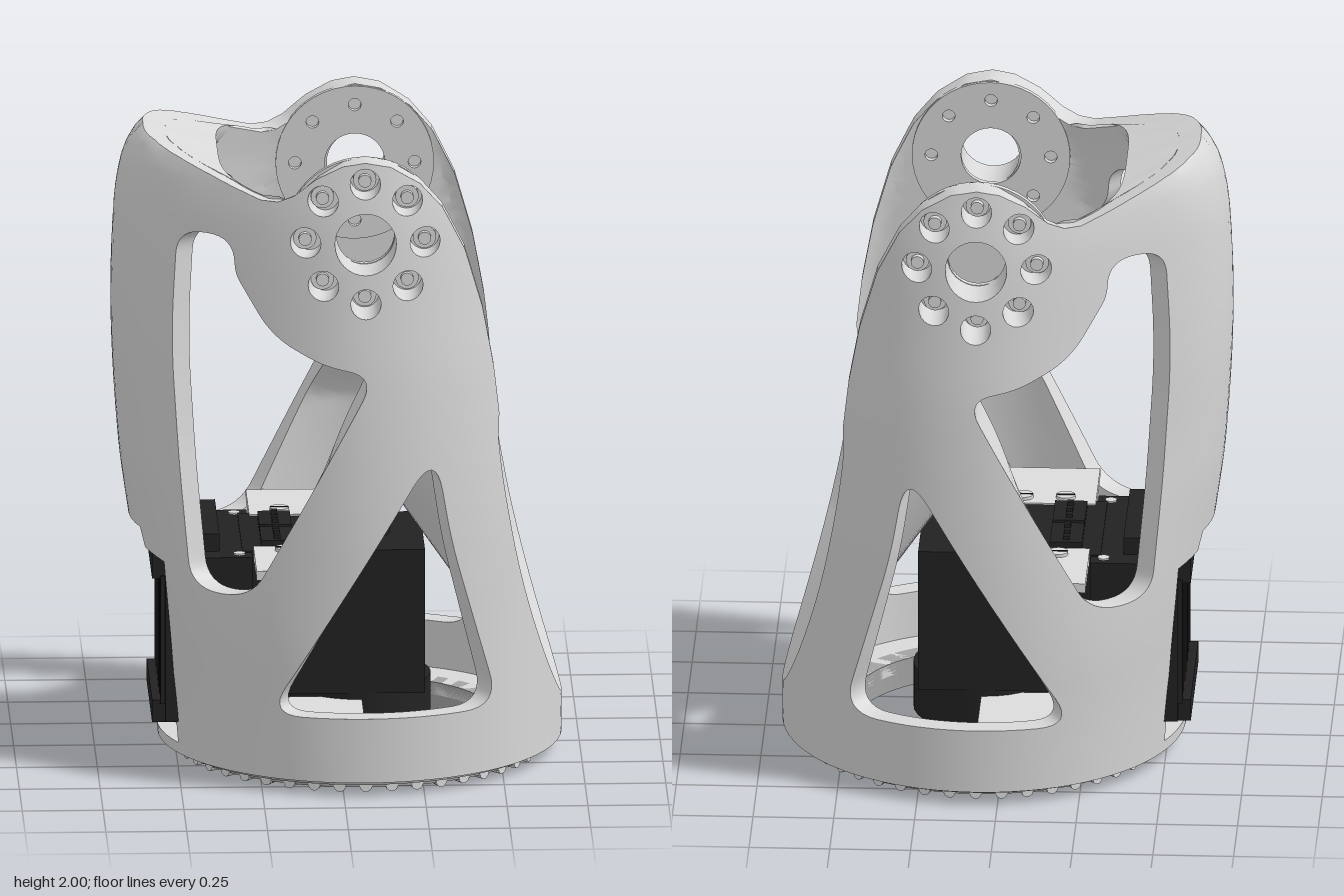
import * as THREE from 'three';
import { mergeGeometries, toCreasedNormals } from 'three/addons/utils/BufferGeometryUtils.js';

const CX = 0.07, S = 0.62, END = S * Math.PI, STEP = 0.06; // ring centre, unrolling scale, unrolled length, mesh size
const { lerp, smoothstep, clamp } = THREE.MathUtils;
const V2 = (x, y) => new THREE.Vector2(x, y), V3 = (x, y, z) => new THREE.Vector3(x, y, z);
const mat = (name, color, side = THREE.FrontSide) =>
  Object.assign(new THREE.MeshStandardMaterial({ color, side }), { name });

// smooth curve through [y, value] pairs
function curve(t) {
  const slope = i => {
    const a = t[Math.max(i - 1, 0)], b = t[Math.min(i + 1, t.length - 1)];
    return (b[1] - a[1]) / (b[0] - a[0]);
  };
  return y => {
    let i = 0;
    while (i < t.length - 2 && y > t[i + 1][0]) i++;
    const h = t[i + 1][0] - t[i][0], k = clamp((y - t[i][0]) / h, 0, 1), k2 = k * k, k3 = k2 * k;
    return (2 * k3 - 3 * k2 + 1) * t[i][1] + (k3 - 2 * k2 + k) * h * slope(i)
      + (3 * k2 - 2 * k3) * t[i + 1][1] + (k3 - k2) * h * slope(i + 1);
  };
}
const halfDepth = curve([[0, 0.625], [0.75, 0.625], [1, 0.617], [1.3, 0.598], [1.5, 0.577], [1.8, 0.54], [2, 0.5]]);
const leftReach = curve([[0, 0.62], [0.3, 0.65], [0.75, 0.715], [1, 0.748], [1.4, 0.77], [1.75, 0.76], [1.9, 0.735], [1.97, 0.7], [2, 0.67]]);

// point of the wall a distance t inside its outer skin; the back half narrows towards the top
function skinPoint(s, y, t) {
  const c = Math.cos(s / S), b = halfDepth(y);
  const narrow = c < 0 ? 1 - 0.13 * smoothstep(y, 0.4, 1.2) * Math.sin(2 * s / S) ** 2 : 1;
  return V3(CX + ((c < 0 ? leftReach(y) : b) - t) * c, y, (b - t) * Math.sin(s / S) * narrow);
}
const outer = (s, y) => skinPoint(s, y, 0);
function inner(s, y) {
  const o = outer(s, y), p = skinPoint(s, y, 0.07), ear = smoothstep(y, 0.95, 1.2);
  if (o.x > CX) p.x = lerp(p.x, o.x, ear);
  else p.y -= 0.37 * smoothstep(y, 1.74, 1.86) * (p.x - o.x);
  p.z = Math.min(p.z, lerp(p.z, 0.415, ear));
  return p;
}
const unroll = ([x, y]) => V2(S * Math.acos(clamp((x - CX) / (x < CX ? leftReach(y) : halfDepth(y)), -1, 1)), y);

// polygon of [x, y, radius] with rounded corners
const rounded = p => p.flatMap(([x, y, r], i) => {
  const toward = q => V2(q[0] - x, q[1] - y).setLength(r).add(V2(x, y));
  return new THREE.QuadraticBezierCurve(toward(p.at(i - 1)), V2(x, y), toward(p[(i + 1) % p.length])).getPoints(8);
});
const densify = p => p.flatMap((a, i) => {
  const b = p[(i + 1) % p.length], n = Math.max(1, Math.ceil(a.distanceTo(b) / (STEP * 0.8)));
  return Array.from({ length: n }, (_, k) => a.clone().lerp(b, k / n));
});
const windowPath = p => densify(rounded(p)).map(v => unroll([v.x, v.y]));
const circle = (x, y, r, n = 20) => Array.from({ length: n }, (_, i) =>
  V2(x + r * Math.cos(i * 2 * Math.PI / n), y + r * Math.sin(i * 2 * Math.PI / n)));
const boltSpots = circle(CX, 1.75, 0.185, 8).map(v => [v.x, v.y]);

// top edge of the wall, from the back over the ear to the scoop
const topEdge = [[-0.57, 1.989], [-0.54, 1.977], [-0.5, 1.962], [-0.45, 1.942], [-0.4, 1.923], [-0.3, 1.885], [-0.25, 1.868],
  [-0.2, 1.868], [-0.15, 1.89], [-0.08, 1.947], [0, 1.988], [0.07, 2], [0.15, 1.985], [0.24, 1.93], [0.31, 1.85], [0.38, 1.71],
  [0.435, 1.52], [0.47, 1.33], [0.487, 1.18]].map(unroll);

function geometry(corners, normals) {
  const g = new THREE.BufferGeometry().setFromPoints(corners);
  if (normals) g.setAttribute('normal', new THREE.Float32BufferAttribute(normals.flatMap(n => n.toArray()), 3));
  return g;
}
// adds the mirror image across z = 0 to a list of triangle corners
function both(v) {
  const m = [];
  for (let i = 0; i < v.length; i += 3) for (const k of [0, 2, 1]) m.push(v[i + k].clone().setZ(-v[i + k].z));
  return v.concat(m);
}

// flips edges of a flat mesh until its triangles are well shaped
function relax(tris, pts) {
  const angle = (a, c, b) => Math.acos(clamp(pts[a].clone().sub(pts[c]).normalize().dot(pts[b].clone().sub(pts[c]).normalize()), -1, 1));
  for (let pass = 0; pass < 40; pass++) {
    const edges = new Map(), used = new Set();
    tris.forEach((t, i) => t.forEach((a, k) => edges.set(a * 1e5 + t[(k + 1) % 3], [i, t[(k + 2) % 3]])));
    for (const [key, [i, c]] of edges) {
      const a = Math.floor(key / 1e5), b = key % 1e5, [j, d] = edges.get(b * 1e5 + a) ?? [];
      if (j === undefined || used.has(i) || used.has(j) || angle(a, c, b) + angle(a, d, b) < Math.PI + 1e-6) continue;
      tris[i] = [a, d, c];
      tris[j] = [d, b, c];
      used.add(i).add(j);
    }
    if (!used.size) break;
  }
}

function shellGeometry() {
  const scoopEdge = Array.from({ length: 25 }, (_, i) => {
    const t = i / 24 * Math.PI / 2, y = 1.1 - 0.93 * Math.sin(t);
    return V2(i < 24 ? S * Math.asin(0.45 * Math.cos(t) / halfDepth(y)) : 0, y);
  });
  const outline = densify([V2(0, 0.045), V2(END, 0.045), V2(END, 0.08),
    ...[[-0.5, 0.08], [-0.505, 0.14], [-0.545, 0.67], [-0.6, 0.69], [-0.615, 0.75]].map(unroll),
    V2(END, 0.75), V2(END, 2), ...topEdge, ...scoopEdge]);
  const holes = [
    windowPath([[-0.505, 1.745, 0.08], [-0.335, 1.745, 0.08], [-0.33, 1.63, 0.03], [-0.22, 1.45, 0.08], [-0.06, 1.37, 0.06],
      [0.1, 1.34, 0.09], [-0.285, 0.615, 0.085], [-0.465, 0.615, 0.085], [-0.5, 1, 0.1], [-0.525, 1.4, 0.15]]),
    windowPath([[0.285, 1.1, 0.14], [0.335, 0.8, 0.1], [0.485, 0.25, 0.11], [-0.235, 0.25, 0.11]]),
    ...[[CX, 1.75, 0.095, 32], ...boltSpots.map(p => [...p, 0.047])].map(c => circle(...c).map(v => unroll([v.x, v.y])))];
  if (THREE.ShapeUtils.isClockWise(outline)) outline.reverse();
  holes.forEach(h => { if (!THREE.ShapeUtils.isClockWise(h)) h.reverse(); });

  // triangulate the unrolled wall, halving long edges until it bends smoothly
  const pts = [outline, ...holes].flat(), tris = [], middles = new Map();
  const middle = (a, b) => {
    const key = Math.min(a, b) * 1e5 + Math.max(a, b);
    if (!middles.has(key)) middles.set(key, pts.push(pts[a].clone().lerp(pts[b], 0.5)) - 1);
    return middles.get(key);
  };
  const split = ([a, b, c]) => {
    const d = [[a, b], [b, c], [c, a]].map(([i, j]) => pts[i].distanceTo(pts[j])), m = Math.max(...d);
    if (m <= STEP) return tris.push([a, b, c]);
    if (m === d[1]) [a, b, c] = [b, c, a];
    else if (m === d[2]) [a, b, c] = [c, a, b];
    const h = middle(a, b);
    split([a, h, c]);
    split([h, b, c]);
  };
  const coarse = THREE.ShapeUtils.triangulateShape(outline, holes).map(([a, b, c]) =>
    pts[b].clone().sub(pts[a]).cross(pts[c].clone().sub(pts[a])) > 0 ? [a, b, c] : [a, c, b]);
  relax(coarse, pts);
  coarse.forEach(split);
  relax(tris, pts);

  const skin = [], normals = [], lining = [], e = 1e-3;
  for (const [a, b, c] of tris) {
    for (const { x: s, y } of [pts[a], pts[c], pts[b]]) {
      skin.push(outer(s, y));
      const ds = outer(s + e, y).sub(outer(s - e, y)), dy = outer(s, y + e).sub(outer(s, y - e));
      normals.push(dy.cross(ds).normalize());
    }
    lining.push(...[a, b, c].map(i => inner(pts[i].x, pts[i].y)));
  }
  // cut faces between the skins, left out on the mirror plane
  for (const loop of [outline, ...holes]) loop.forEach((p, i) => {
    const q = loop[(i + 1) % loop.length];
    if (Math.max(p.x, q.x) < 1e-4 || Math.min(p.x, q.x) > END - 1e-4 && p.y < 1.9) return;
    const A = outer(p.x, p.y), C = inner(q.x, q.y);
    lining.push(A, outer(q.x, q.y), C, A, C, inner(p.x, p.y));
  });
  return mergeGeometries([geometry(both(skin), both(normals)), toCreasedNormals(geometry(both(lining)), 0.6)]);
}

// skin over rows of points
function loft(rows) {
  return rows.slice(1).flatMap((b, i) => b.slice(1).flatMap((p, k) => [rows[i][k], rows[i][k + 1], p, rows[i][k], p, b[k]]));
}
// thick shelf inside the top of the back wall
function lipGeometry() {
  const topY = curve([[END, 2], ...topEdge.slice(0, 10).map(v => [v.x, v.y])].reverse());
  return toCreasedNormals(geometry(both(loft(Array.from({ length: 33 }, (_, i) => {
    const s = lerp(111 / 180, 1, i / 32) * END, c = Math.abs(Math.cos(s / S)), x = CX - 0.44 * Math.sqrt(c);
    const z = 0.41 * Math.sqrt(Math.max(0, Math.sin(s / S))), y = Math.max(1.868, 2 - 0.37 * (x + 0.6));
    return [inner(s, topY(s)), V3(x, y, z), V3(x - 0.005, y - 0.02, z), V3(x - 0.03, 1.845, z), inner(s, 1.82)];
  })))), 0.6);
}
// hollow sloping scoop with a thick rim
function scoopGeometry() {
  return toCreasedNormals(geometry(loft(Array.from({ length: 49 }, (_, i) => {
    const t = i / 48 * Math.PI, sn = Math.max(0, Math.sin(t)), c = Math.cos(t), z = 0.45 * c, y = 1.1 - 0.93 * sn;
    const x = CX + Math.sqrt(halfDepth(y) ** 2 - z * z), rx = 0.19 + 0.015 * sn, ry = 1.3 - 0.43 * sn ** 0.85;
    return [V3(x, y, z), V3(rx, ry, 0.42 * c), V3(rx - 0.065, ry, 0.42 * c), V3(x - 0.06, y - 0.02, z)];
  }))), 0.6);
}

export function createModel() {
  const root = new THREE.Group();
  const shellMat = mat('shell grey', 0xd8d8d8, THREE.DoubleSide), black = mat('motor black', 0x222222);
  const steel = mat('gear steel', 0xa2a2a2), plate = mat('bracket grey', 0xdcdcdc);
  const add = (name, geo, m, x = 0, y = 0, z = 0) => {
    const mesh = new THREE.Mesh(geo, m);
    mesh.name = name;
    mesh.position.set(x, y, z);
    root.add(mesh);
  };
  const box = (name, m, x0, x1, y0, y1, z0, z1) => add(name, new THREE.BoxGeometry(x1 - x0, y1 - y0, z1 - z0), m,
    (x0 + x1) / 2, (y0 + y1) / 2, (z0 + z1) / 2);
  const disc = (name, m, r, x, y0, y1, z, n = 32) => add(name, new THREE.CylinderGeometry(r, r, y1 - y0, n), m, x, (y0 + y1) / 2, z);
  const ring = (name, m, r0, r1, y0, y1) => add(name, toCreasedNormals(new THREE.LatheGeometry(
    [[r1, y0], [r1, y1], [r0, y1], [r0, y0], [r1, y0]].map(p => V2(...p)), 72), 0.6), m, CX);

  add('shell', shellGeometry(), shellMat);
  add('topLip', lipGeometry(), shellMat);
  add('scoop', scoopGeometry(), shellMat);

  // bearing discs and bolts of the two ears
  const face = new THREE.Shape(circle(CX, 1.75, 0.245, 48));
  face.holes.push(new THREE.Path(circle(CX, 1.75, 0.093, 32)), ...boltSpots.map(p => new THREE.Path(circle(...p, 0.02, 12))));
  for (const side of [1, -1]) {
    add('bearingDisc', new THREE.ExtrudeGeometry(face, { depth: 0.02, bevelEnabled: false }), shellMat, 0, 0, side * 0.415 - 0.01);
    for (const p of boltSpots) for (const [r, h] of [[0.036, 0.03], [0.02, 0.05]])
      add('earBolt', new THREE.CylinderGeometry(r, r, h, 20).rotateX(Math.PI / 2), plate, ...p, side * (0.425 + h / 2));
  }

  // base rings and radial rollers
  ring('baseRing', steel, 0.5, 0.592, 0.03, 0.06);
  ring('rollerTrack', steel, 0.465, 0.565, 0.015, 0.035);
  ring('innerRing', steel, 0.41, 0.47, 0.008, 0.1);
  ring('baseFloor', shellMat, 0.41, 0.57, 0.06, 0.1);
  for (let i = 0; i < 44; i++)
    add('roller', new THREE.CylinderGeometry(0.019, 0.019, 0.095, 10).rotateZ(Math.PI / 2).translate(0.52, 0.019, 0)
      .rotateY(i / 22 * Math.PI), plate, CX);

  // motor
  box('motorBody', black, -0.3, 0.265, 0.22, 0.68, -0.22, 0.22);
  box('motorRear', black, -0.54, -0.27, 0.15, 0.675, -0.275, 0.275);
  box('rearTopFlange', black, -0.58, -0.5, 0.6, 0.68, -0.24, 0.24);
  box('rearBottomFlange', black, -0.58, -0.5, 0.14, 0.21, -0.24, 0.24);
  for (let i = 0; i < 7; i++) box('rearRib', black, -0.555, -0.53, 0.2, 0.61, -0.25 + i * 0.08, -0.23 + i * 0.08);
  box('topRidge', black, -0.46, -0.37, 0.67, 0.73, -0.2, 0.2);
  for (const z of [-0.09, 0.09]) {
    box('connector', black, -0.24, -0.14, 0.67, 0.7, z - 0.08, z + 0.08);
    for (let i = 0; i < 3; i++) box('connectorPin', black, -0.2, -0.18, 0.7, 0.712, z - 0.06 + i * 0.05, z - 0.04 + i * 0.05);
  }
  disc('topHub', black, 0.095, CX, 0.67, 0.73, 0);
  disc('topHubCap', black, 0.03, CX, 0.725, 0.734, 0);
  disc('outputHorn', black, 0.22, CX, 0.08, 0.23, 0);
  disc('hornScrew', steel, 0.035, CX, 0.07, 0.09, 0);
  for (const v of circle(CX, 0, 0.14, 6)) disc('hornBolt', black, 0.016, v.x, 0.073, 0.09, v.y);

  // mounting brackets tying the motor to the shell
  for (const side of [1, -1]) {
    const z0 = side > 0 ? 0.18 : -0.47, z1 = z0 + 0.29;
    box('upperBracket', plate, -0.265, 0.04, 0.655, 0.685, z0, z1);
    box('lowerBracket', plate, -0.265, 0.07, 0.13, 0.2, z0, z1);
    disc('motorNut', plate, 0.02, -0.31, 0.67, 0.68, side * 0.235, 6);
    for (const x of [-0.17, -0.04]) {
      disc('bracketScrew', plate, 0.03, x, 0.68, 0.695, side * 0.23);
      box('screwSlot', black, x - 0.028, x + 0.028, 0.694, 0.697, side * 0.23 - 0.003, side * 0.23 + 0.003);
      disc('lowerScrew', plate, 0.03, x, 0.11, 0.14, side * 0.28);
    }
  }
  return root;
}
